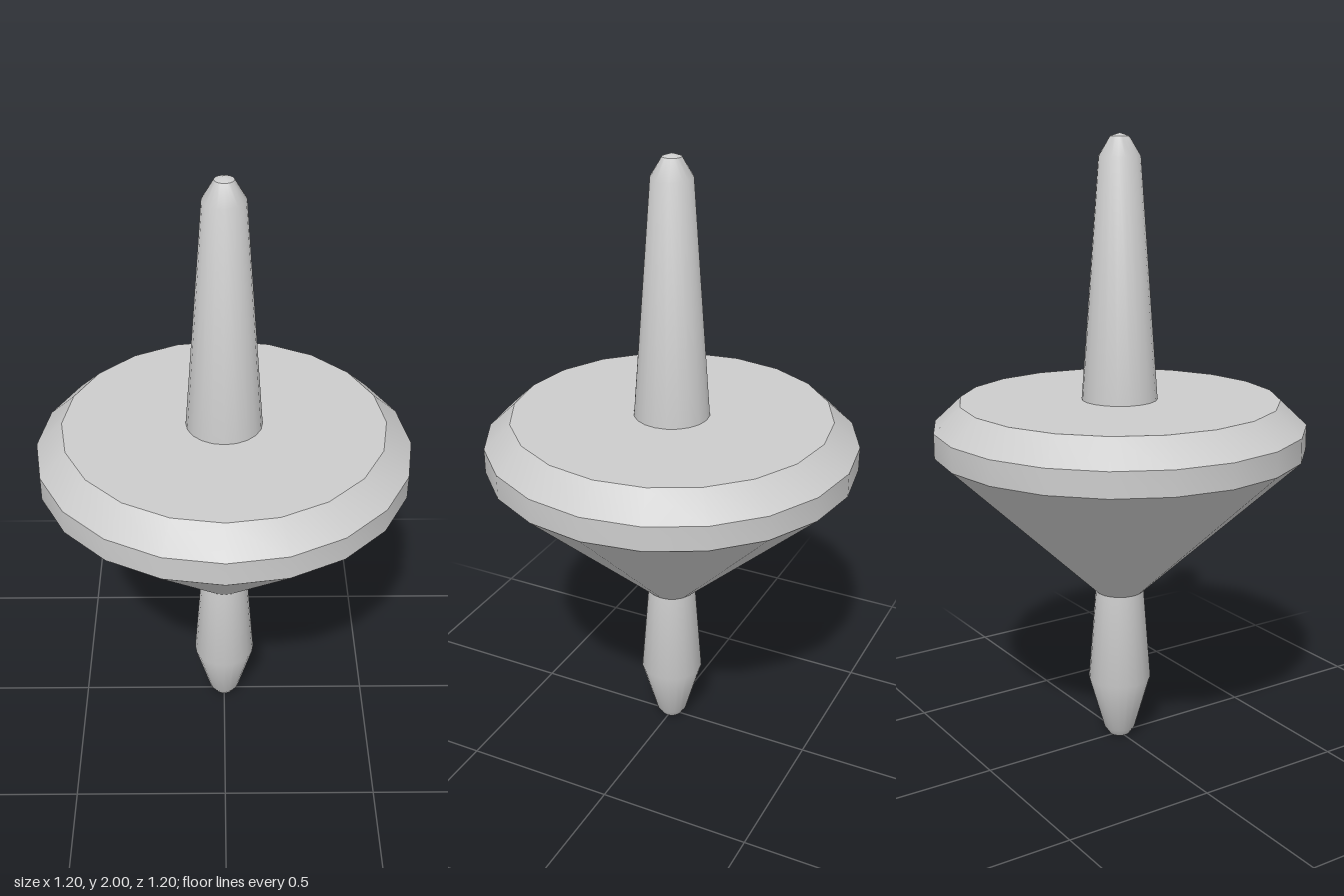
import * as THREE from 'three';
import { toCreasedNormals } from 'three/addons/utils/BufferGeometryUtils.js';

const SIDES = 20;

export function createModel() {
  const group = new THREE.Group();
  const grey = new THREE.MeshStandardMaterial({ color: 0xcccccc });
  grey.name = 'plain grey';

  // Turned part from [radius, height] pairs, listed bottom to top
  function turned(name, profile) {
    const points = profile.map(([r, y]) => new THREE.Vector2(r, y));
    const geometry = toCreasedNormals(new THREE.LatheGeometry(points, SIDES), 0.6);
    const mesh = new THREE.Mesh(geometry, grey);
    mesh.name = name;
    group.add(mesh);
  }

  // Spinning foot: blunt point, widest a third of the way up, narrow neck
  turned('foot', [[0, 0], [0.035, 0.003], [0.052, 0.028], [0.104, 0.21], [0.08, 0.52]]);

  // Cone, upright rim, bevel and flat top
  turned('disc', [[0.08, 0.52], [0.6, 1.01], [0.6, 1.09], [0.515, 1.17], [0.12, 1.17]]);

  // Tapered handle with a rounded tip
  turned('handle', [[0.122, 1.17], [0.066, 1.93], [0.03, 1.99], [0, 2]]);

  return group;
}
